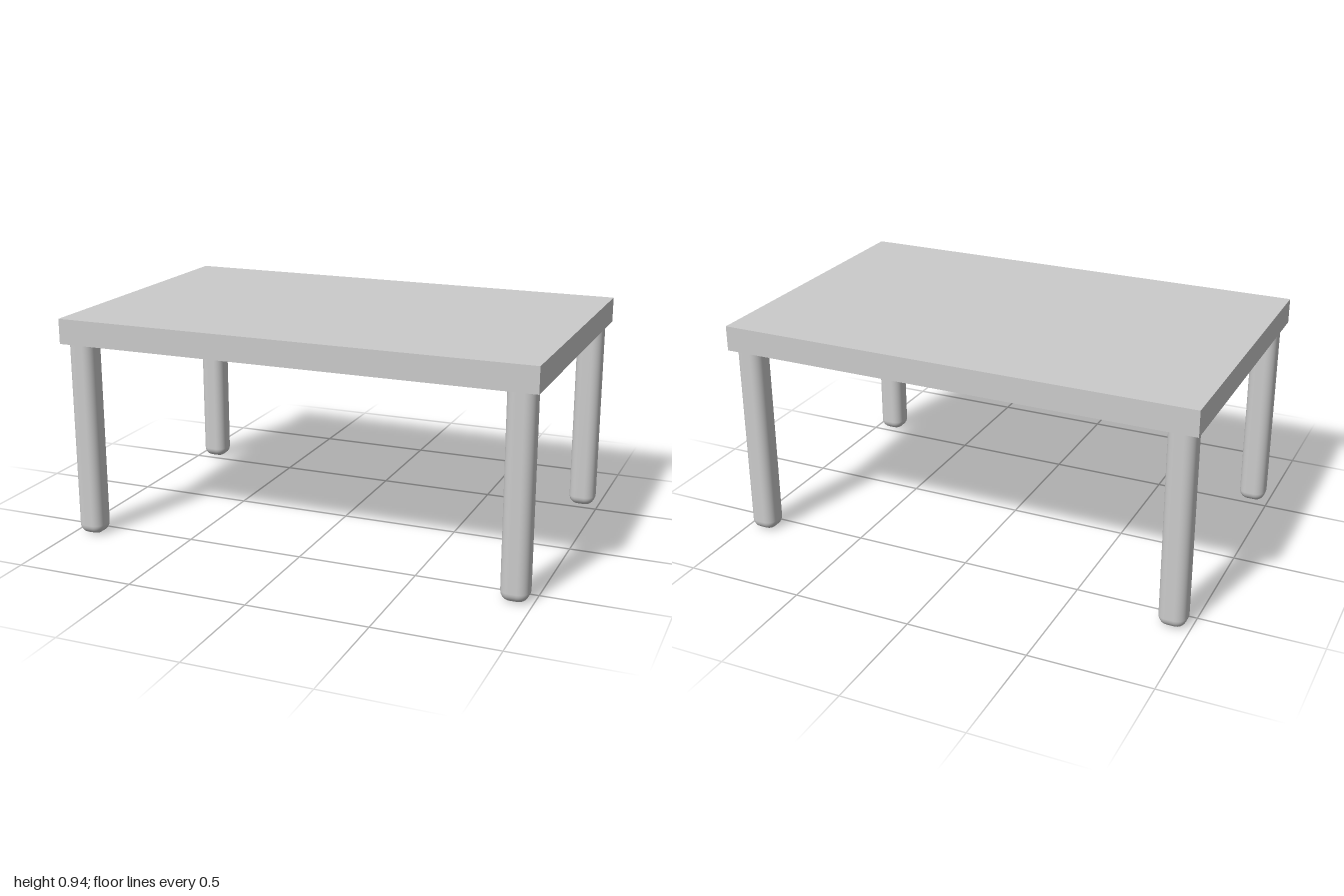
import * as THREE from 'three';
import { RoundedBoxGeometry } from 'three/addons/geometries/RoundedBoxGeometry.js';

const TOP = { width: 2, depth: 1.27, bottom: 0.83, height: 0.105 };
const LEG = { width: 0.112, depth: 0.107, height: 0.88, radius: 0.04, x: 0.925, z: 0.565 };

export function createModel() {
  const table = new THREE.Group();
  table.name = 'table';
  const material = new THREE.MeshStandardMaterial({ color: 0xcccccc });

  // Plain rectangular slab
  const top = new THREE.Mesh(new THREE.BoxGeometry(TOP.width, TOP.height, TOP.depth), material);
  top.name = 'tableTop';
  top.position.y = TOP.bottom + TOP.height / 2;
  table.add(top);

  // Four rounded square legs, their upper ends sunk into the slab
  const legGeometry = new RoundedBoxGeometry(LEG.width, LEG.height, LEG.depth, 4, LEG.radius);
  for (const [front, sz] of [['front', 1], ['back', -1]]) {
    for (const [side, sx] of [['Left', 1], ['Right', -1]]) {
      const leg = new THREE.Mesh(legGeometry, material);
      leg.name = `${front}${side}Leg`;
      leg.position.set(sx * LEG.x, LEG.height / 2, sz * LEG.z);
      table.add(leg);
    }
  }
  return table;
}
